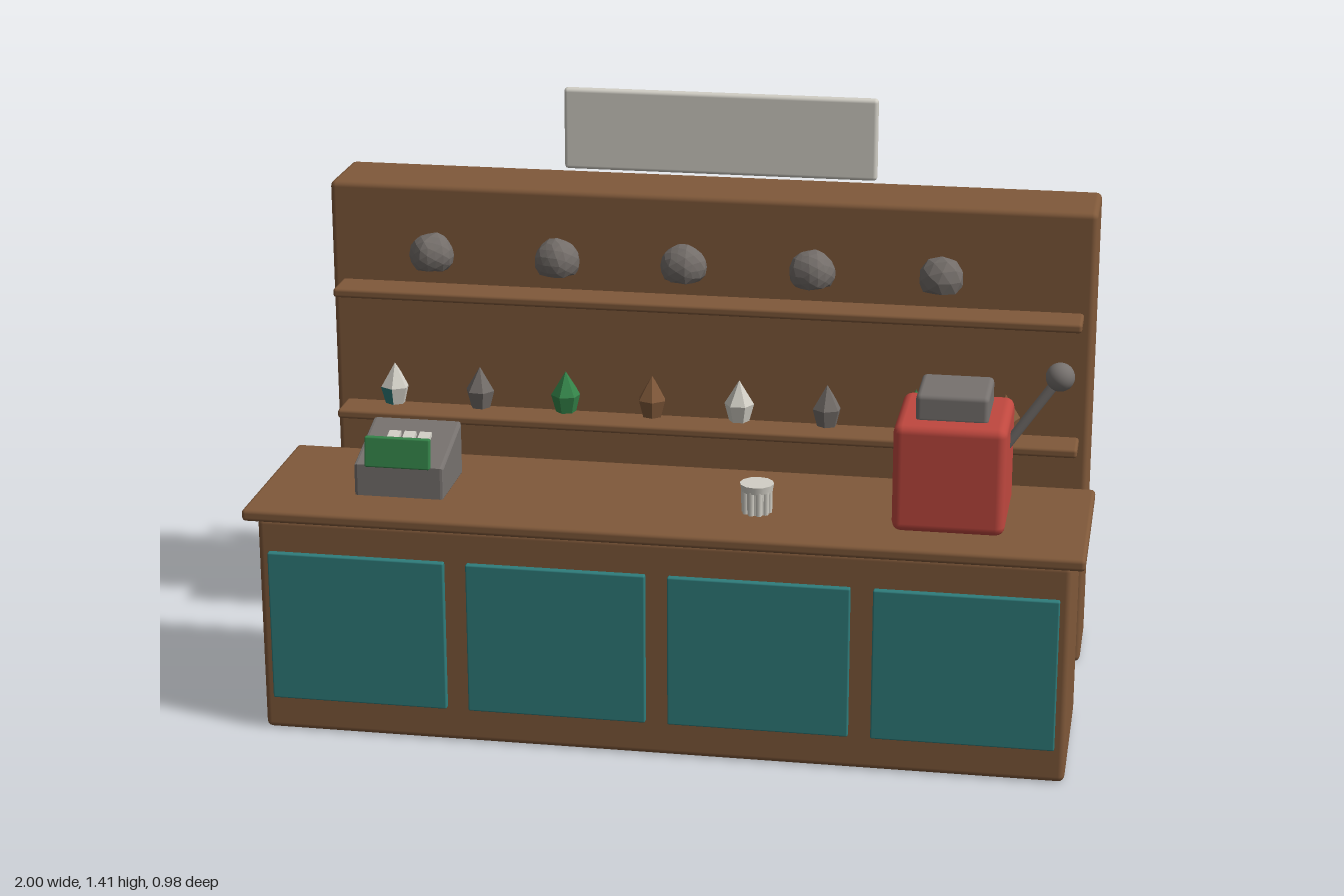
import * as THREE from 'three';
import { RoundedBoxGeometry } from 'three/addons/geometries/RoundedBoxGeometry.js';

const mat = (name, color, flat = false) => {
  const m = new THREE.MeshStandardMaterial({ color, flatShading: flat });
  m.name = name;
  return m;
};

export function createModel() {
  const root = new THREE.Group();
  root.name = 'shopCounter';
  const wood = mat('wood', 0x80593a);
  const teal = mat('teal', 0x2f7d7c);
  const stone = mat('stoneGrey', 0x736d69, true);
  const metal = mat('metalGrey', 0x77726f);
  const red = mat('red', 0xc0483f);
  const green = mat('green', 0x35854a);
  const purple = mat('purple', 0x6a45a8);
  const white = mat('offWhite', 0xd2cfc6);
  const dark = mat('darkEyes', 0x2a2a2a);

  const add = (name, geo, material, x = 0, y = 0, z = 0, parent = root) => {
    const m = new THREE.Mesh(geo, material);
    m.name = name;
    m.position.set(x, y, z);
    parent.add(m);
    return m;
  };
  // Rounded box given by its minimum and maximum on each axis
  const box = (name, material, x0, x1, y0, y1, z0, z1, r = 0.012) =>
    add(name, new RoundedBoxGeometry(x1 - x0, y1 - y0, z1 - z0, 2, r), material,
      (x0 + x1) / 2, (y0 + y1) / 2, (z0 + z1) / 2);
  const group = (name, x, y, z) => {
    const g = new THREE.Group();
    g.name = name;
    g.position.set(x, y, z);
    root.add(g);
    return g;
  };

  // Back wall, sign and shelves
  box('backWall', wood, -0.97, 0.97, 0, 1.19, -0.48, -0.26, 0.015);
  box('signBoard', white, -0.403, 0.403, 1.195, 1.406, -0.49, -0.462, 0.01);
  for (const y of [0.274, 0.598, 0.922])
    box('shelf', wood, -0.945, 0.945, y - 0.012, y + 0.012, -0.29, -0.165, 0.008);

  // Counter with four front panels
  box('counterBody', wood, -0.97, 0.97, 0, 0.545, 0.04, 0.465, 0.015);
  box('counterTop', wood, -1, 1, 0.544, 0.574, 0.008, 0.492, 0.01);
  for (let i = 0; i < 4; i++) {
    const x = -0.728 + i * 0.4855;
    box('frontPanel', teal, x - 0.216, x + 0.216, 0.087, 0.463, 0.46, 0.48, 0.004);
  }

  // Rocks: faceted domes with flat undersides
  for (let i = 0; i < 5; i++) {
    const geo = new THREE.IcosahedronGeometry(0.058, i === 4 ? 1 : 2);
    const p = geo.attributes.position;
    for (let k = 0; k < p.count; k++) {
      const x = p.getX(k), y = p.getY(k), z = p.getZ(k);
      const s = 1 + 0.05 * Math.sin(x * 90 + i * 2) * Math.cos(z * 80 + i);
      p.setXYZ(k, x * s, Math.max(y * s, -0.033), z * s);
    }
    geo.computeVertexNormals();
    add('rock', geo, stone, -0.705 + i * 0.324, 1.009, -0.257).rotation.y = i * 1.3;
  }

  // Crystals: hexagonal stem flaring out, pointed top
  const facets = {
    white: mat('crystalWhite', 0xd2cfc6, true),
  };
  const crystalColors = [facets.white, stone, green, wood];
  const flat = (geo) => {
    const g = geo.toNonIndexed();
    g.computeVertexNormals();
    return g;
  };
  for (let i = 0; i < 8; i++) {
    const c = crystalColors[i % 4];
    const g = group('crystal', -0.812 + i * 0.2245, 0.61, -0.253);
    g.rotation.y = i * 0.4;
    add('crystalStem', flat(new THREE.CylinderGeometry(0.038, 0.026, 0.045, 6)), c, 0, 0.0225, 0, g);
    add('crystalTip', flat(new THREE.ConeGeometry(0.038, 0.062, 6)), c, 0, 0.076, 0, g);
    // One tinted facet on the pale crystals
    if (c === facets.white)
      add('tintedFacet', flat(new THREE.CylinderGeometry(0.039, 0.027, 0.045, 1, 1, true,
        (i ? 0 : -1) * Math.PI / 3, Math.PI / 3)), teal, 0, 0.0225, 0, g);
  }

  // Plush figures on the lowest shelf
  for (let i = 0; i < 6; i++) {
    const c = i % 2 ? green : purple;
    const g = group('plush', -0.71 + i * 0.294, 0, 0);
    add('plushBody', new THREE.SphereGeometry(0.067, 20, 14), c, 0, 0.352, -0.262, g);
    add('plushHead', new THREE.SphereGeometry(0.043, 20, 14), c, 0, 0.446, -0.205, g);
    for (const s of [-1, 1])
      add('plushEye', new THREE.SphereGeometry(0.007, 8, 6), dark, s * 0.014, 0.458, -0.167, g);
  }

  // Cash register: wedge body, keys on the slope, display at the front
  const reg = group('cashRegister', -0.65, 0.574, 0.155);
  const side = new THREE.Shape();
  side.moveTo(0, 0);
  side.lineTo(0.185, 0);
  side.lineTo(0.185, 0.07);
  side.lineTo(0, 0.122);
  side.closePath();
  const body = new THREE.ExtrudeGeometry(side, {
    depth: 0.204, bevelEnabled: true, bevelSize: 0.006, bevelThickness: 0.008, bevelSegments: 2,
  });
  body.rotateY(-Math.PI / 2);
  add('registerBody', body, metal, 0.102, 0.004, 0, reg);
  for (let r = 0; r < 3; r++)
    for (let c = -1; c < 2; c++) {
      const z = 0.075 + r * 0.037;
      add('registerKey', new THREE.BoxGeometry(0.029, 0.014, 0.028), white,
        c * 0.038, 0.136 - z * 0.281, z, reg).rotation.x = 0.274;
    }
  add('registerDisplay', new RoundedBoxGeometry(0.16, 0.075, 0.018, 2, 0.004), green,
    0, 0.114, 0.192, reg).rotation.x = -0.12;

  // Cup with a fluted wall and a wider rim
  const cup = group('cup', 0.213, 0.574, 0.3);
  add('cupBody', new THREE.CylinderGeometry(0.032, 0.03, 0.06, 16), white, 0, 0.03, 0, cup);
  for (let i = 0; i < 10; i++) {
    const a = i / 10 * Math.PI * 2;
    add('cupFlute', new THREE.CylinderGeometry(0.008, 0.007, 0.06, 8), white,
      Math.cos(a) * 0.03, 0.03, Math.sin(a) * 0.03, cup);
  }
  add('cupRim', new THREE.CylinderGeometry(0.041, 0.038, 0.018, 12), white, 0, 0.064, 0, cup);

  // Machine with a top hopper and a side lever
  box('machineBody', red, 0.541, 0.805, 0.574, 0.838, 0.118, 0.384, 0.022);
  box('machineTop', metal, 0.588, 0.758, 0.83, 0.899, 0.166, 0.336, 0.012);
  const from = new THREE.Vector3(0.79, 0.75, 0.25), to = new THREE.Vector3(0.915, 0.932, 0.25);
  const mid = from.clone().add(to).multiplyScalar(0.5);
  const rod = add('leverRod', new THREE.CylinderGeometry(0.012, 0.012, from.distanceTo(to), 12),
    metal, mid.x, mid.y, mid.z);
  rod.quaternion.setFromUnitVectors(new THREE.Vector3(0, 1, 0), to.clone().sub(from).normalize());
  add('leverKnob', new THREE.SphereGeometry(0.034, 20, 14), metal, to.x, to.y, to.z);

  return root;
}
